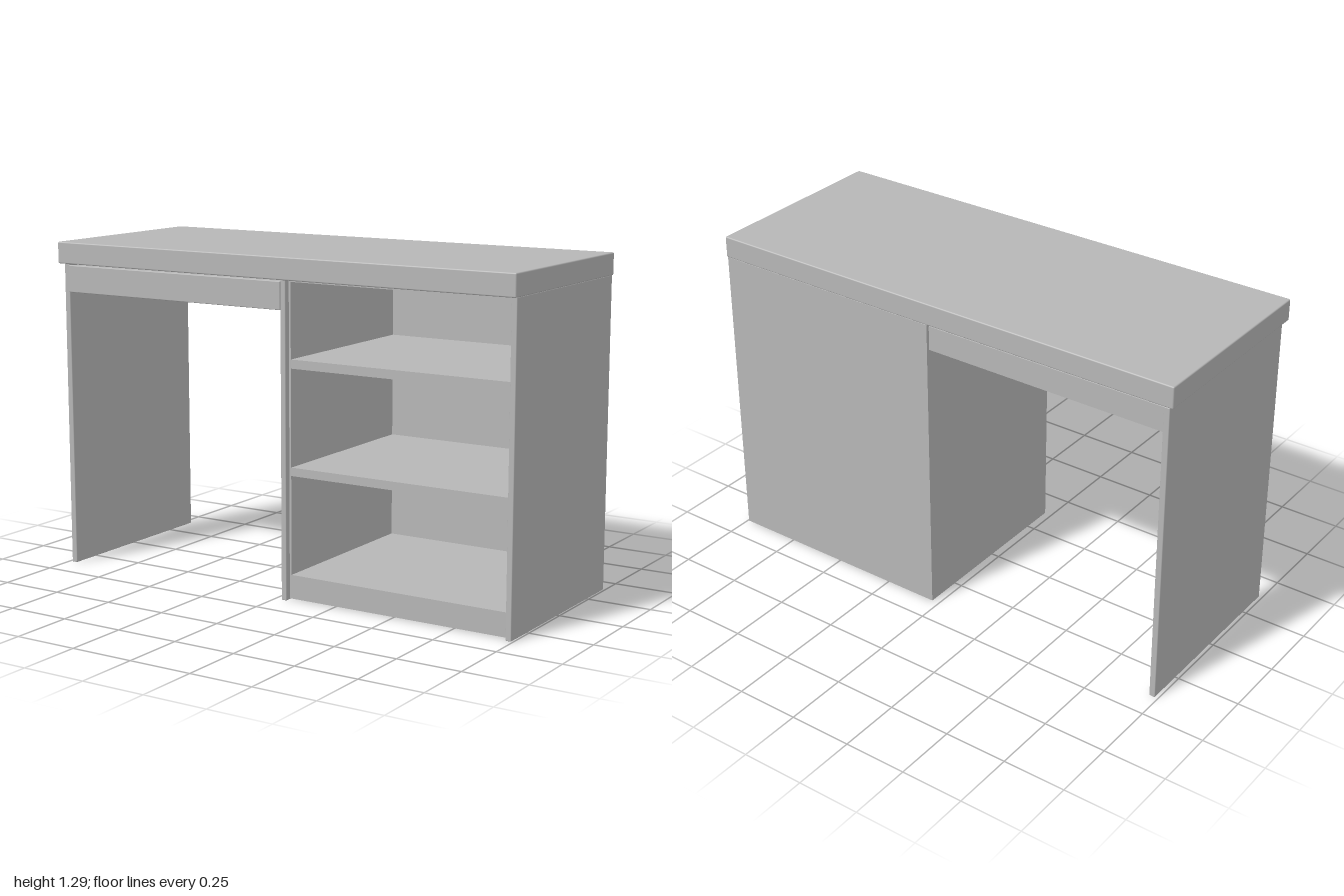
import * as THREE from 'three';
import { RoundedBoxGeometry } from 'three/addons/geometries/RoundedBoxGeometry.js';

export function createModel() {
  const desk = new THREE.Group();
  desk.name = 'desk';
  const grey = new THREE.MeshStandardMaterial({ color: 0xb6b6b6 });
  grey.name = 'plain grey';

  // Board given by its limits along each axis; a bevel softens its edges.
  function board(name, [x0, x1], [y0, y1], [z0, z1], bevel = 0) {
    const size = [x1 - x0, y1 - y0, z1 - z0];
    const geometry = bevel
      ? new RoundedBoxGeometry(...size, 2, bevel)
      : new THREE.BoxGeometry(...size);
    const mesh = new THREE.Mesh(geometry, grey);
    mesh.name = name;
    mesh.position.set((x0 + x1) / 2, (y0 + y1) / 2, (z0 + z1) / 2);
    desk.add(mesh);
  }

  // Worktop
  board('worktop', [-1, 1], [1.21, 1.295], [-0.398, 0.4], 0.005);

  // Upright panels: outer right leg, cabinet inner side, cabinet outer side
  const panelZ = [-0.392, 0.376];
  board('legPanel', [-0.987, -0.963], [0, 1.21], [-0.396, 0.376], 0.003);
  board('cabinetInnerPanel', [0.03, 0.052], [0, 1.21], panelZ, 0.003);
  board('cabinetOuterPanel', [0.971, 0.993], [0, 1.21], panelZ, 0.003);

  // Closed shallow drawer over the knee space
  board('drawerBox', [-0.964, 0.031], [1.105, 1.2], [-0.385, 0.36]);
  board('drawerFront', [-0.964, 0.031], [1.097, 1.203], [0.36, 0.38], 0.003);

  // Cabinet back, covering the full cabinet width
  board('cabinetBack', [0.03, 0.993], [0.002, 1.21], [-0.398, -0.385]);

  // Inner frame of the open cabinet
  const innerX = [0.05, 0.973], innerZ = [-0.386, 0.352];
  board('innerCheekRight', [0.05, 0.06], [0.004, 1.21], innerZ);
  board('innerCheekLeft', [0.961, 0.973], [0.004, 1.21], innerZ);
  board('topRail', innerX, [1.2, 1.212], innerZ);

  // Plinth and two shelves
  for (const [name, y0, y1] of [
    ['plinth', 0.004, 0.096],
    ['lowerShelf', 0.476, 0.508],
    ['upperShelf', 0.88, 0.914],
  ]) board(name, innerX, [y0, y1], innerZ);

  return desk;
}
